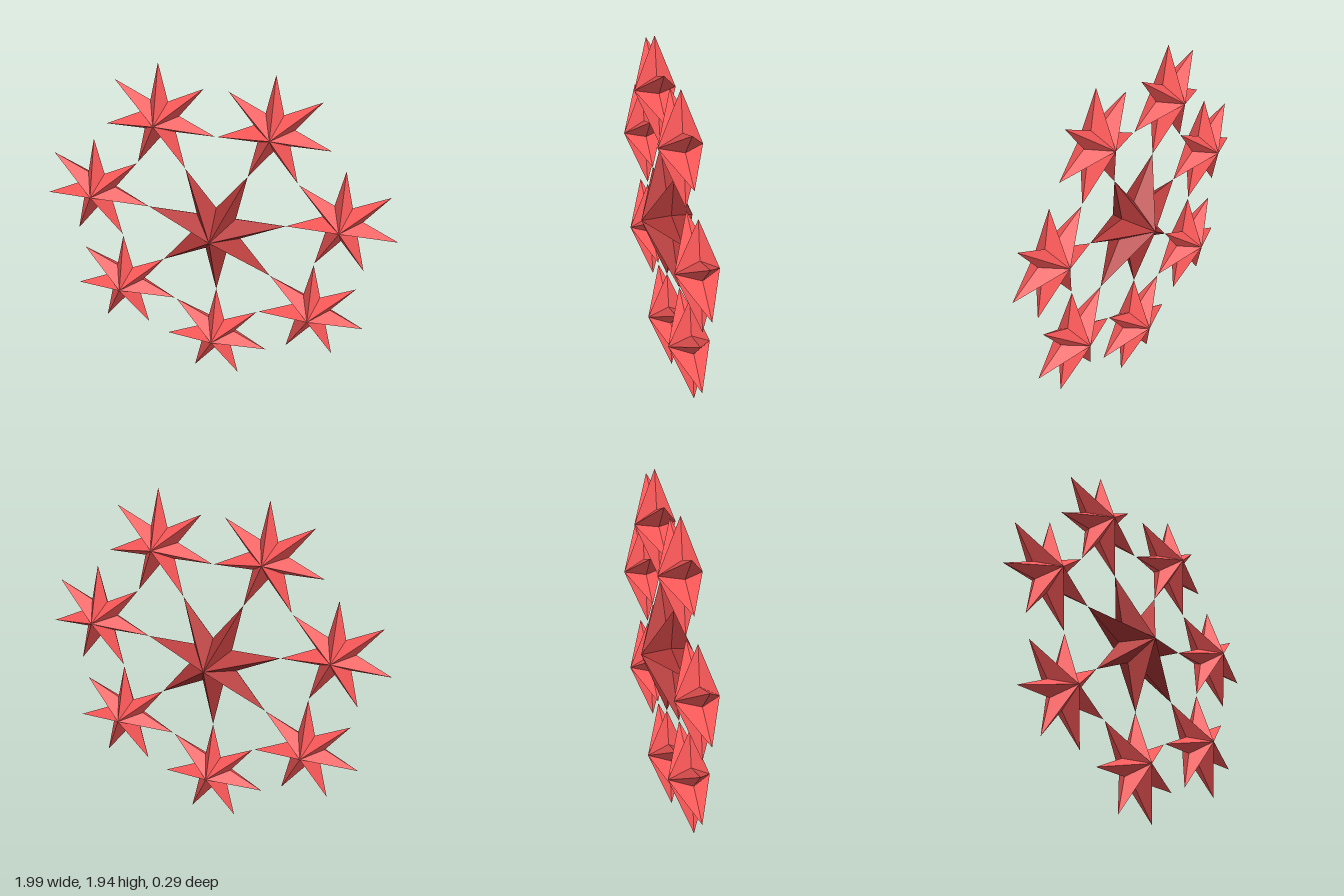
import * as THREE from 'three';

const POINTS = 7;
const STEP = (2 * Math.PI) / POINTS;
// Valley radius of a seven-pointed star whose edges run in straight lines
const VALLEY = Math.cos((3 * Math.PI) / POINTS) / Math.cos((2 * Math.PI) / POINTS);

// Faceted star: zigzag outline at z = 0 joined to a front and a back apex
function starGeometry(radius, depth, startAngle) {
  const rim = [];
  for (let i = 0; i < POINTS * 2; i++) {
    const a = startAngle + (i * STEP) / 2;
    const r = i % 2 ? radius * VALLEY : radius;
    rim.push([r * Math.cos(a), r * Math.sin(a), 0]);
  }
  const front = [0, 0, depth];
  const back = [0, 0, -depth];
  const positions = [];
  rim.forEach((p, i) => {
    const q = rim[(i + 1) % rim.length];
    positions.push(...front, ...p, ...q, ...back, ...q, ...p);
  });
  const geometry = new THREE.BufferGeometry();
  geometry.setAttribute('position', new THREE.Float32BufferAttribute(positions, 3));
  geometry.computeVertexNormals();
  return geometry;
}

export function createModel() {
  const group = new THREE.Group();
  group.name = 'starRing';
  const centreY = 0.996;
  const ringRadius = 0.709;

  // Large dark star, one point down
  const centreStar = new THREE.Mesh(
    starGeometry(0.399, 0.145, -Math.PI / 2),
    new THREE.MeshStandardMaterial({ color: 0xb83b3b, flatShading: true })
  );
  centreStar.name = 'centreStar';
  centreStar.position.y = centreY;
  group.add(centreStar);

  // Seven small stars, all upright, one at each point of the large star
  const smallGeometry = starGeometry(0.3095, 0.114, Math.PI / 2);
  const smallMaterial = new THREE.MeshStandardMaterial({ color: 0xff5a5a, flatShading: true });
  for (let i = 0; i < POINTS; i++) {
    const a = -Math.PI / 2 + i * STEP;
    const star = new THREE.Mesh(smallGeometry, smallMaterial);
    star.name = `outerStar${i + 1}`;
    star.position.set(ringRadius * Math.cos(a), centreY + ringRadius * Math.sin(a), 0);
    group.add(star);
  }
  return group;
}
